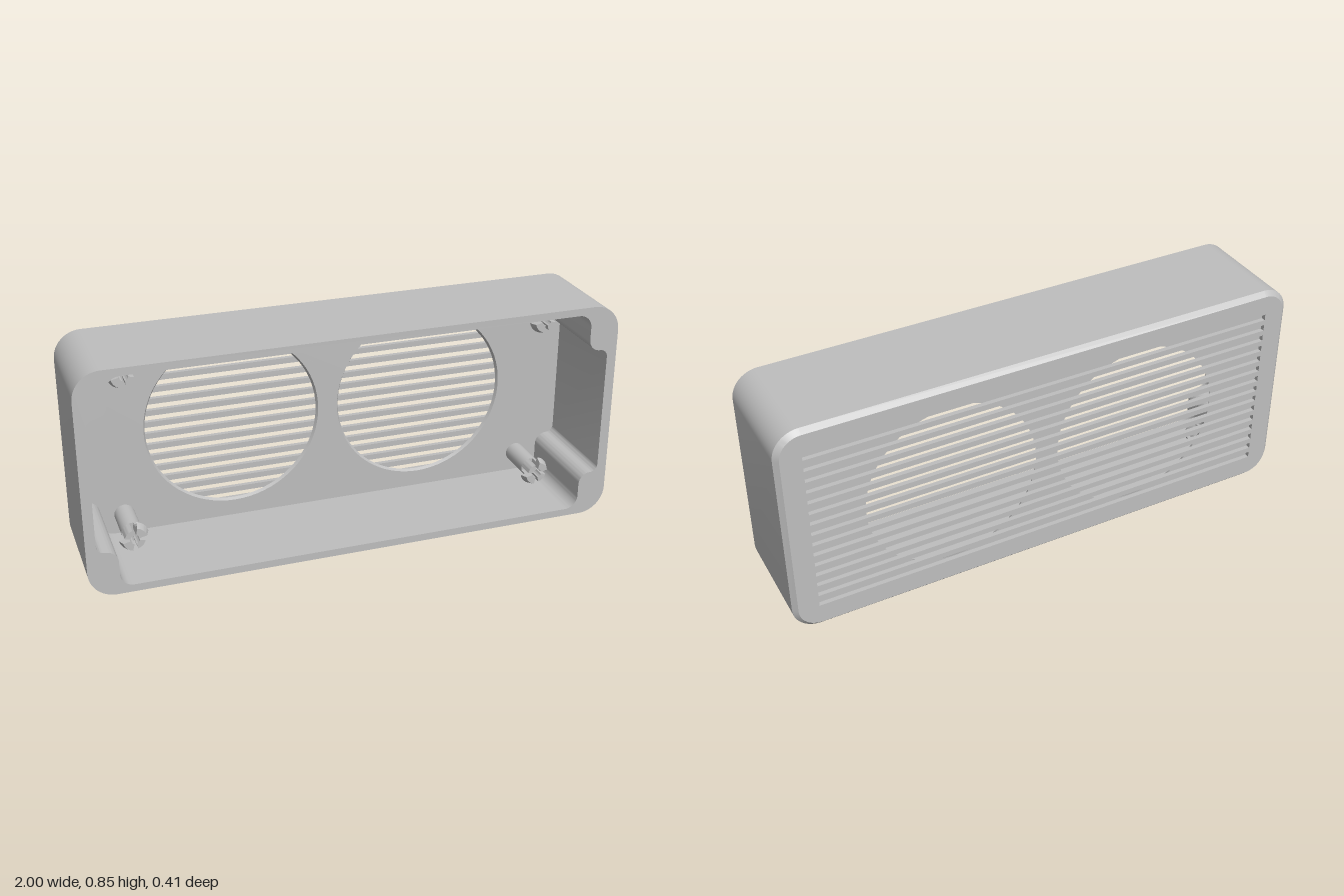
import * as THREE from 'three';
import { toCreasedNormals } from 'three/addons/utils/BufferGeometryUtils.js';

const W = 1, H = 0.425, R = 0.1;          // half width, half height, corner radius
const FRONT = 0.203, BACK = -0.203;
const PANEL_BACK = -0.186, PANEL_FRONT = -0.174;
const CHAMFER = 0.018;

// Closed outline with rounded corners from [x, y, radius] points
function roundedOutline(points, target = new THREE.Shape()) {
  const n = points.length, k = 0.5523;
  points.forEach(([x, y, r], i) => {
    const toward = ([px, py], d) => {
      const len = Math.hypot(px - x, py - y);
      return [x + (px - x) * d / len, y + (py - y) * d / len];
    };
    const prev = points[(i + n - 1) % n], next = points[(i + 1) % n];
    const a = toward(prev, r), b = toward(next, r);
    if (i === 0) target.moveTo(...a); else target.lineTo(...a);
    if (r > 0) target.bezierCurveTo(...toward(prev, r * (1 - k)), ...toward(next, r * (1 - k)), ...b);
  });
  target.closePath();
  return target;
}

const rectangle = (x, y0, y1, r) => [[-x, y0, r], [x, y0, r], [x, y1, r], [-x, y1, r]];

// Cavity outline: one quadrant with its stepped corner, mirrored four ways
function cavityPoints() {
  const q = [[0.963, 0.252, 0.03], [0.888, 0.252, 0.045], [0.888, 0.397, 0.05]];
  const flip = (sx, sy) => q.map(([x, y, r]) => [x * sx, y * sy, r]);
  return [...flip(1, 1), ...flip(-1, 1).reverse(), ...flip(-1, -1), ...flip(1, -1).reverse()];
}

// Extrude between two depths, optionally moving the vertices by a rule
function extrude(shape, z0, z1, move, curveSegments = 12) {
  const geo = new THREE.ExtrudeGeometry(shape, { depth: z1 - z0, bevelEnabled: false, curveSegments });
  geo.translate(0, 0, z0);
  if (move) {
    const p = geo.attributes.position, v = new THREE.Vector3();
    for (let i = 0; i < p.count; i++) {
      move(v.fromBufferAttribute(p, i));
      p.setXYZ(i, v.x, v.y, v.z);
    }
  }
  return toCreasedNormals(geo, 0.5);
}

// Ring sector used for the clip prongs
function sector(inner, outer, a0, a1) {
  const s = new THREE.Shape();
  s.absarc(0, 0, outer, a0, a1, false);
  s.absarc(0, 0, inner, a1, a0, true);
  s.closePath();
  return s;
}

export function createModel() {
  const model = new THREE.Group();
  const housing = new THREE.Group();
  housing.name = 'housing';
  housing.position.y = H;
  model.add(housing);

  const grey = new THREE.MeshStandardMaterial({ color: 0xbebebe });
  grey.name = 'grey plastic';
  const add = (name, geo, parent = housing) => {
    const mesh = new THREE.Mesh(geo, grey);
    mesh.name = name;
    parent.add(mesh);
    return mesh;
  };

  // Outer walls around the stepped cavity
  const walls = roundedOutline(rectangle(W, -H, H, R));
  walls.holes.push(roundedOutline(cavityPoints(), new THREE.Path()));
  add('walls', extrude(walls, PANEL_BACK, FRONT));

  // Rear grille with horizontal slots and a chamfered outer edge
  const grille = roundedOutline(rectangle(W, -H, H, R));
  const slots = 15, pitch = 0.0455, slotHalf = 0.012;
  for (let i = 0; i < slots; i++) {
    const y = (i - (slots - 1) / 2) * pitch;
    grille.holes.push(roundedOutline(rectangle(0.905, y - slotHalf, y + slotHalf, 0), new THREE.Path()));
  }
  add('grille', extrude(grille, BACK, PANEL_BACK, v => {
    if (v.z > BACK + 0.005) return;
    const cx = THREE.MathUtils.clamp(v.x, R - W, W - R), cy = THREE.MathUtils.clamp(v.y, R - H, H - R);
    if (Math.hypot(v.x - cx, v.y - cy) < R * 0.9) return;
    const s = (R - CHAMFER) / R;
    v.x = cx + (v.x - cx) * s;
    v.y = cy + (v.y - cy) * s;
  }));

  // Inner panel with two slightly flared round openings
  const panel = roundedOutline(cavityPoints());
  const holeX = 0.372, holeR = 0.328;
  for (const side of [-1, 1]) {
    const hole = new THREE.Path();
    hole.absarc(side * holeX, 0, holeR, 0, Math.PI * 2, true);
    panel.holes.push(hole);
  }
  add('speakerPanel', extrude(panel, PANEL_BACK, PANEL_FRONT, v => {
    const cx = Math.sign(v.x) * holeX, d = Math.hypot(v.x - cx, v.y);
    if (v.z < PANEL_FRONT - 0.005 || d > holeR + 0.003) return;
    v.x = cx + (v.x - cx) * 1.02;
    v.y *= 1.02;
  }, 36));

  // Four clip posts, each a shaft with split prongs at the tip
  const shaftTop = -0.03, tip = 0.03, gap = 0.22;
  const shaft = new THREE.CylinderGeometry(0.038, 0.038, shaftTop - PANEL_FRONT, 28)
    .rotateX(Math.PI / 2).translate(0, 0, (shaftTop + PANEL_FRONT) / 2);
  for (const sx of [-1, 1]) for (const sy of [-1, 1]) {
    const post = new THREE.Group();
    post.name = 'clipPost';
    post.position.set(sx * 0.798, sy * 0.32, 0);
    housing.add(post);
    add('postShaft', shaft, post);
    for (let i = 0; i < 4; i++) {
      const a0 = i * Math.PI / 2 + gap, a1 = (i + 1) * Math.PI / 2 - gap;
      add('prong', extrude(sector(0.018, 0.038, a0, a1), shaftTop, tip), post);
      // Hooked lip on two opposite prongs, tapering towards the tip
      if (i % 2 === 0) add('prongLip', extrude(sector(0.03, 0.056, a0, a1), tip - 0.03, tip, v => {
        if (v.z > tip - 0.005 && Math.hypot(v.x, v.y) > 0.05) { v.x *= 0.8; v.y *= 0.8; }
      }), post);
    }
  }
  return model;
}
